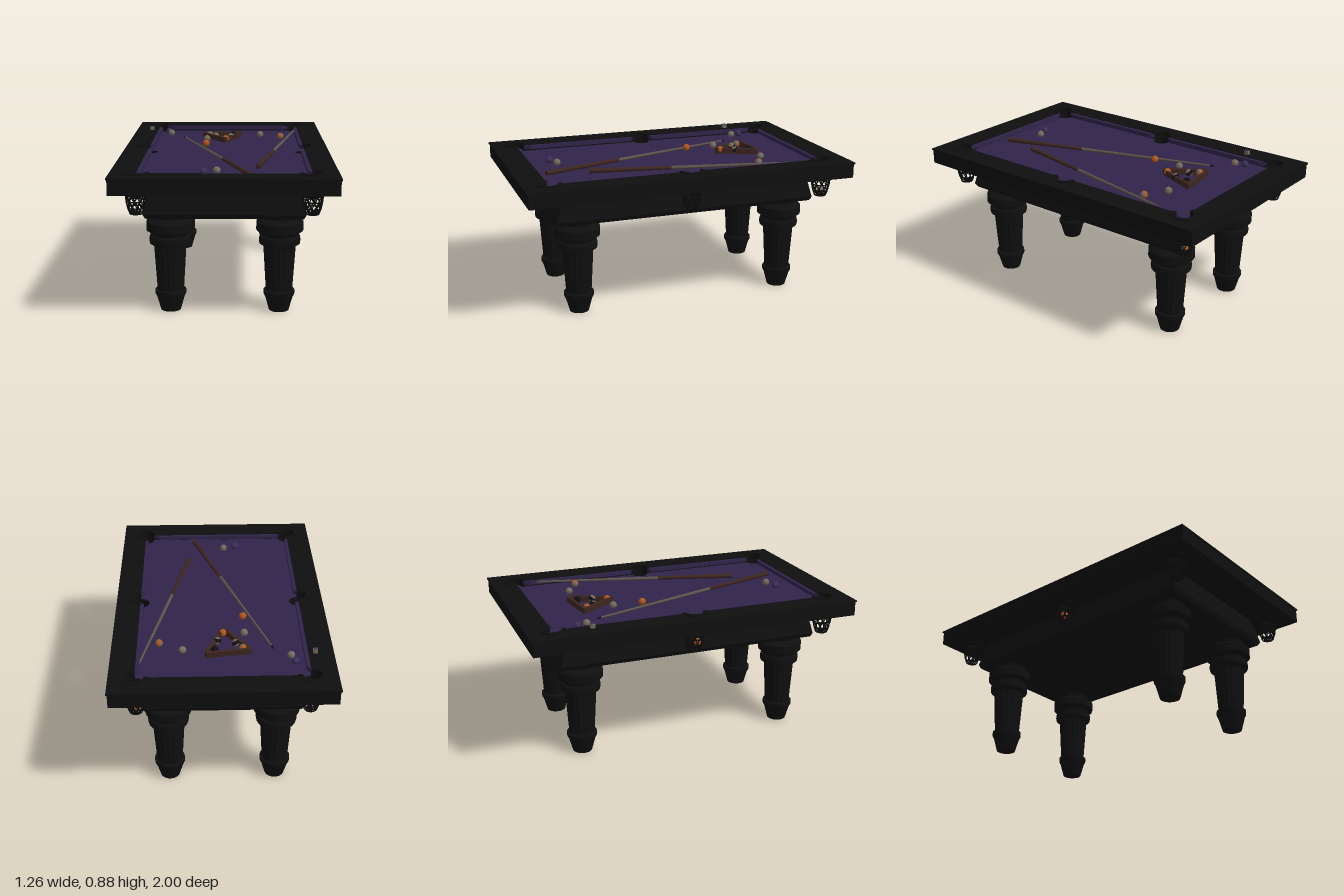
import * as THREE from 'three';
import { toCreasedNormals } from 'three/addons/utils/BufferGeometryUtils.js';

const mat = (name, color, side = THREE.FrontSide) => {
  const m = new THREE.MeshStandardMaterial({ color, side });
  m.name = name;
  return m;
};

const W = 0.485, H = 0.85, R = 0.052; // half opening and pocket radius
const CLOTH_Y = 0.81, BALL_R = 0.022;
const rad = THREE.MathUtils.degToRad;

// Pocket centres in plan (x, -z), with the arc that bites into the rail
const POCKETS = [
  [W, H, -90, 270], [-W, H, 0, 270], [-W, 0, 90, 180],
  [-W, -H, 90, 270], [W, -H, 180, 270], [W, 0, -90, 180],
];

// Playing area outline: pockets bulge outwards (rail) or are bitten out (bed)
function opening(path, bulge) {
  for (const [x, y, s, span] of POCKETS) {
    path.absarc(x, y, R, rad(s), rad(bulge ? s + span : s - (360 - span)), !bulge);
  }
  path.closePath();
  return path;
}

// Horizontal slab extruded from a plan shape
function slab(shape, y0, y1) {
  const g = new THREE.ExtrudeGeometry(shape, { depth: y1 - y0, bevelEnabled: false, curveSegments: 16 });
  return g.rotateX(-Math.PI / 2).translate(0, y0, 0);
}

const polygon = (pts) => new THREE.Shape(pts.map(([x, y]) => new THREE.Vector2(x, y)));

// Box whose bottom and top rectangles differ
function frustum(wb, db, wt, dt, y0, y1) {
  const g = new THREE.BoxGeometry(1, y1 - y0, 1);
  const p = g.attributes.position;
  for (let i = 0; i < p.count; i++) {
    const top = p.getY(i) > 0;
    p.setX(i, p.getX(i) * (top ? wt : wb));
    p.setZ(i, p.getZ(i) * (top ? dt : db));
  }
  g.computeVertexNormals();
  return g.translate(0, (y0 + y1) / 2, 0);
}

const lathe = (pts, seg = 28) =>
  toCreasedNormals(new THREE.LatheGeometry(pts.map(([r, y]) => new THREE.Vector2(r, y)), seg), 0.5);

export function createModel() {
  const wood = mat('black wood', 0x0f0f0f);
  const net = mat('black leather', 0x0b0b0b, THREE.DoubleSide);
  const cloth = mat('purple cloth', 0x30244a);
  const brown = mat('brown wood', 0x3c251f);
  const maple = mat('pale cue wood', 0x5c544a);
  const cream = mat('cream', 0x736a5a);
  const orange = mat('orange', 0xb0561c);
  const violet = mat('violet', 0x3a3058);
  const black = mat('black ball', 0x121016);

  const model = new THREE.Group();
  const add = (name, geo, material, parent = model) => {
    const m = new THREE.Mesh(geo, material);
    m.name = name;
    parent.add(m);
    return m;
  };

  // Rail frame with an overhanging top lip
  for (const [name, x, z, y0, y1] of [['railFrame', 0.624, 0.994, 0.755, 0.84], ['railTop', 0.63, 1, 0.84, 0.85]]) {
    const shape = polygon([[-x, -z], [x, -z], [x, z], [-x, z]]);
    shape.holes.push(opening(new THREE.Path(), true));
    add(name, slab(shape, y0, y1), wood);
  }

  // Slate bed and its cloth
  add('slateBed', slab(opening(new THREE.Shape(), false), 0.755, CLOTH_Y - 0.002), wood);
  add('cloth', slab(opening(new THREE.Shape(), false), CLOTH_Y - 0.002, CLOTH_Y), cloth);

  // Cushions with slanted ends
  const c = 0.022, gap = R + 0.004;
  for (const s of [1, -1]) {
    const a = W - gap;
    add('endCushion', slab(polygon([[-a, s * H], [-a + 0.04, s * (H - c)], [a - 0.04, s * (H - c)], [a, s * H]]),
      0.822, 0.846), cloth);
    for (const t of [1, -1]) {
      const lo = t * gap, hi = t * (H - gap);
      add('sideCushion', slab(polygon([[s * W, lo], [s * (W - c), lo + t * 0.015],
        [s * (W - c), hi - t * 0.04], [s * W, hi]]), 0.822, 0.846), cloth);
    }
  }

  // Flared apron and base moulding
  add('apron', frustum(0.912, 1.62, 0.84, 1.55, 0.605, 0.757), wood);
  add('apronBase', frustum(0.885, 1.6, 0.912, 1.62, 0.58, 0.605), wood);

  // Pockets: top collar, lower ring and woven basket
  const netR = (t) => 0.057 - 0.022 * t * t;
  for (const [x, y, s, span] of POCKETS) {
    const pocket = new THREE.Group();
    pocket.name = 'pocket';
    pocket.position.set(x, 0, -y);
    model.add(pocket);
    const collar = new THREE.Shape();
    collar.absarc(0, 0, 0.076, rad(s), rad(s + span), false);
    collar.absarc(0, 0, R, rad(s + span), rad(s), true);
    add('pocketCollar', slab(collar, 0.849, 0.857), wood, pocket);
    add('pocketRing', lathe([[0.052, 0.756], [0.052, 0.73], [0.06, 0.726], [0.07, 0.735], [0.073, 0.756]]), net, pocket);
    for (let i = 0; i < 10; i++) {
      for (const dir of [1, -1]) {
        const pts = [];
        for (let k = 0; k <= 4; k++) {
          const t = k / 4, a = (i / 10) * Math.PI * 2 + dir * t * 1.1;
          pts.push(new THREE.Vector3(netR(t) * Math.cos(a), 0.735 - 0.11 * t, netR(t) * Math.sin(a)));
        }
        add('netStrand', new THREE.TubeGeometry(new THREE.CatmullRomCurve3(pts), 6, 0.0036, 4), net, pocket);
      }
    }
    for (const t of [0.35, 0.7, 1]) {
      add('netHoop', new THREE.TorusGeometry(netR(t), 0.004, 5, 20).rotateX(Math.PI / 2)
        .translate(0, 0.735 - 0.11 * t, 0), net, pocket);
    }
    for (const r of [0.01, 0.022]) {
      add('netBottom', new THREE.TorusGeometry(r, 0.004, 5, 14).rotateX(Math.PI / 2).translate(0, 0.624, 0), net, pocket);
    }
  }

  // Turned legs with a fluted shaft
  const foot = lathe([[0, 0], [0.058, 0], [0.08, 0.08], [0.09, 0.1], [0.09, 0.122], [0.076, 0.126], [0.07, 0.13]]);
  const capital = lathe([[0.09, 0.39], [0.098, 0.4], [0.117, 0.405], [0.12, 0.425], [0.116, 0.448], [0.106, 0.453],
    [0.108, 0.465], [0.135, 0.483], [0.135, 0.533], [0.112, 0.552], [0.098, 0.558], [0.101, 0.568], [0.101, 0.582]]);
  const shaft = new THREE.CylinderGeometry(0.094, 0.077, 0.275, 96, 1, true);
  const p = shaft.attributes.position;
  for (let i = 0; i < p.count; i++) {
    const k = 1 - 0.05 * (0.5 - 0.5 * Math.cos(16 * Math.atan2(p.getZ(i), p.getX(i))));
    p.setX(i, p.getX(i) * k);
    p.setZ(i, p.getZ(i) * k);
  }
  shaft.computeVertexNormals();
  shaft.translate(0, 0.2625, 0);
  for (const x of [-0.315, 0.315]) {
    for (const z of [-0.655, 0.655]) {
      const leg = new THREE.Group();
      leg.name = 'leg';
      leg.position.set(x, 0, z);
      model.add(leg);
      add('foot', foot, wood, leg);
      add('flutedShaft', shaft, wood, leg);
      add('capital', capital, wood, leg);
    }
  }

  // Balls, some with a coloured band
  const sphere = new THREE.SphereGeometry(BALL_R, 20, 14);
  const band = new THREE.SphereGeometry(BALL_R + 0.0004, 20, 6, 0, Math.PI * 2, rad(62), rad(56));
  const onCloth = CLOTH_Y + BALL_R;
  for (const [x, z, color, stripe, y = onCloth] of [
    [-0.41, -0.685, violet], [-0.39, -0.625, cream], [-0.12, -0.545, cream, orange], [0.04, -0.56, black],
    [-0.08, -0.495, cream, black], [0.025, -0.47, cream, black], [-0.01, -0.385, orange], [-0.135, -0.385, cream],
    [-0.135, -0.2, orange], [0.225, -0.56, cream], [0.36, -0.485, cream, orange], [-0.12, 0.71, violet],
    [-0.045, 0.68, cream], [-0.508, 0.01, orange, null, 0.675], [0.475, -0.855, cream, orange, 0.655],
  ]) {
    const ball = new THREE.Group();
    ball.name = 'ball';
    ball.position.set(x, y, z);
    ball.rotation.set(0.6, 0, x * 5);
    model.add(ball);
    add('ballBody', sphere, color, ball);
    if (stripe) add('ballBand', band, stripe, ball);
  }

  // Triangular rack with rounded corners
  const corners = [[-0.175, 0.575], [-0.012, 0.345], [0.1, 0.612]].map(([x, y]) => new THREE.Vector2(x, y));
  const centre = new THREE.Vector2(-0.029, 0.511);
  const rounded = (shape, k) => {
    const v = corners.map((q) => q.clone().sub(centre).multiplyScalar(k).add(centre));
    v.forEach((q, i) => {
      const a = q.clone().lerp(v[(i + 2) % 3], 0.13), b = q.clone().lerp(v[(i + 1) % 3], 0.13);
      if (i) shape.lineTo(a.x, a.y); else shape.moveTo(a.x, a.y);
      shape.quadraticCurveTo(q.x, q.y, b.x, b.y);
    });
    shape.closePath();
    return shape;
  };
  const rack = rounded(new THREE.Shape(), 1.06);
  rack.holes.push(rounded(new THREE.Path(), 0.84));
  add('rack', slab(rack, CLOTH_Y, CLOTH_Y + 0.034), brown);

  // Cues: pale shaft and dark butt
  const rod = (name, a, b, ra, rb, material) => {
    const d = b.clone().sub(a);
    const m = add(name, new THREE.CylinderGeometry(rb, ra, d.length(), 12), material);
    m.position.copy(a).addScaledVector(d, 0.5);
    m.quaternion.setFromUnitVectors(new THREE.Vector3(0, 1, 0), d.normalize());
  };
  for (const [tx, ty, tz, bx, bz] of [[-0.295, 0.817, -0.53, 0.153, 0.79], [0.475, 0.838, -0.74, 0.188, 0.54]]) {
    const tip = new THREE.Vector3(tx, ty, tz), end = new THREE.Vector3(bx, CLOTH_Y + 0.014, bz);
    const joint = tip.clone().lerp(end, 0.625), ferrule = tip.clone().lerp(end, 0.015);
    rod('cueTip', tip, ferrule, 0.006, 0.006, black);
    rod('cueShaft', ferrule, joint, 0.006, 0.01, maple);
    rod('cueButt', joint, end, 0.0105, 0.015, brown);
  }

  // Chalk cube on the rail
  add('chalk', new THREE.BoxGeometry(0.026, 0.024, 0.026).translate(-0.525, 0.862, -0.63), cream);
  add('chalkTop', new THREE.BoxGeometry(0.02, 0.002, 0.02).translate(-0.525, 0.875, -0.63), violet);

  return model;
}
